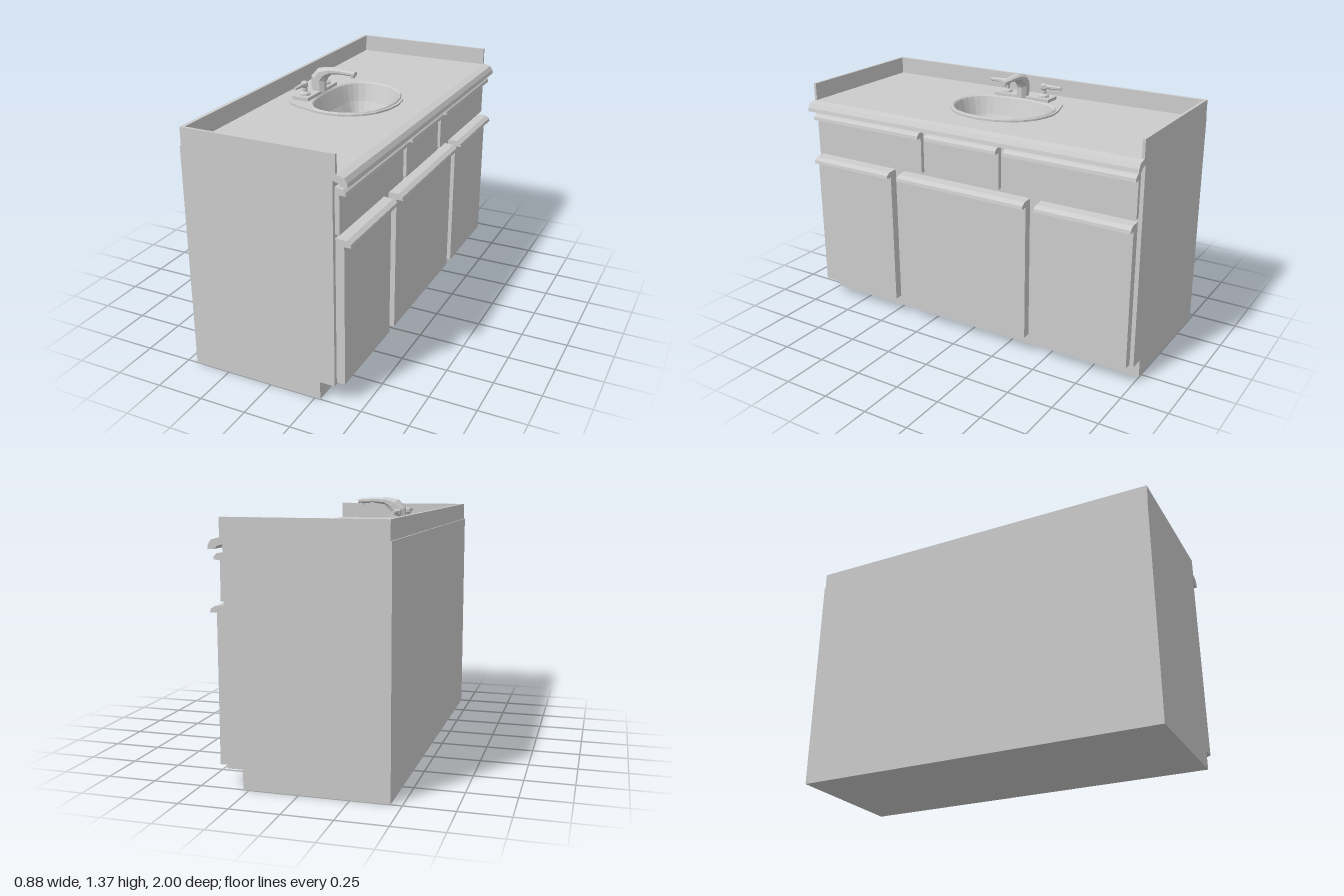
import * as THREE from 'three';

const mat = new THREE.MeshStandardMaterial({ color: 0xcccccc, flatShading: true, side: THREE.DoubleSide });

function add(parent, name, geo, x = 0, y = 0, z = 0) {
  const mesh = new THREE.Mesh(geo, mat);
  mesh.name = name;
  mesh.position.set(x, y, z);
  parent.add(mesh);
  return mesh;
}

// Side profile in x, y run along z from z0 to z1
function run(profile, z0, z1) {
  const shape = new THREE.Shape(profile.map(([x, y]) => new THREE.Vector2(x, y)));
  return new THREE.ExtrudeGeometry(shape, { depth: z1 - z0, bevelEnabled: false }).translate(0, 0, z0);
}

// Skin over a list of closed rings holding equal numbers of points
function loft(rings) {
  const n = rings[0].length, idx = [];
  for (let i = 0; i < rings.length - 1; i++) {
    for (let j = 0; j < n; j++) {
      const a = i * n + j, b = i * n + (j + 1) % n;
      idx.push(a, b, a + n, b, b + n, a + n);
    }
  }
  const geo = new THREE.BufferGeometry().setFromPoints(rings.flat());
  geo.setIndex(idx);
  const flat = geo.toNonIndexed();
  flat.computeVertexNormals();
  return flat;
}

// Smooth closed outline in x, z from one half, mirrored in z
function outline(half, count = 28) {
  const other = half.slice(1, -1).reverse().map(([x, z]) => [x, -z]);
  const pts = half.concat(other).map(([x, z]) => new THREE.Vector3(x, 0, z));
  return new THREE.CatmullRomCurve3(pts, true).getPoints(count).slice(0, count);
}

const rimOutline = outline([[-0.35, 0], [-0.34, 0.13], [-0.29, 0.225], [-0.17, 0.275],
  [-0.04, 0.303], [0.09, 0.27], [0.19, 0.175], [0.237, 0]]);
const bowlOutline = outline([[-0.2, 0], [-0.19, 0.12], [-0.165, 0.2], [-0.12, 0.255],
  [-0.04, 0.28], [0.08, 0.25], [0.175, 0.16], [0.213, 0]]);
const floorOutline = outline([[-0.12, 0], [-0.12, 0.1], [-0.115, 0.17], [-0.09, 0.195],
  [-0.03, 0.2], [0.06, 0.175], [0.12, 0.11], [0.14, 0]]);

// Ring at height y, grown about the bowl centre by factor s
const level = (ring, y, s = 1) => ring.map(p => new THREE.Vector3(0.01 + (p.x - 0.01) * s, y, p.z * s));

function buildCabinet() {
  const g = new THREE.Group();
  g.name = 'cabinet';
  add(g, 'carcass', run([[-0.445, 0], [0.28, 0], [0.28, 0.1], [0.36, 0.1], [0.36, 0.95], [-0.445, 0.95]], -1, 1));

  // Upper body and counter with an opening for the bowl
  const top = new THREE.Shape([[-0.445, -1], [0.36, -1], [0.36, 1], [-0.445, 1]].map(p => new THREE.Vector2(...p)));
  top.holes.push(new THREE.Path(level(bowlOutline, 0, 1.04).map(p => new THREE.Vector2(p.x, p.z))));
  const topGeo = new THREE.ExtrudeGeometry(top, { depth: 0.255, bevelEnabled: false }).rotateX(-Math.PI / 2);
  add(g, 'counter', topGeo, 0, 0.95, 0);

  add(g, 'counterEdge', run([[0.36, 1.175], [0.39, 1.165], [0.4, 1.152], [0.436, 1.152], [0.432, 1.172],
    [0.418, 1.195], [0.38, 1.205], [0.36, 1.205]], -1, 1));

  // Splash boards
  add(g, 'backSplash', new THREE.BoxGeometry(0.02, 0.095, 2), -0.428, 1.2525, 0);
  for (const s of [1, -1]) {
    add(g, 'sideSplash', new THREE.BoxGeometry(0.813, 0.095, 0.015), -0.0315, 1.2525, s * 0.9925);
  }

  // Drawer and door fronts with overhanging finger pulls
  const drawer = [[0.36, 0.905], [0.383, 0.905], [0.383, 1.1], [0.416, 1.1], [0.413, 1.117], [0.4, 1.13], [0.36, 1.137]];
  const door = [[0.36, 0.11], [0.405, 0.11], [0.405, 0.85], [0.44, 0.85], [0.437, 0.867], [0.415, 0.882], [0.36, 0.886]];
  for (const [a, b] of [[-0.98, -0.262], [-0.22, 0.22], [0.262, 0.98]]) add(g, 'drawerFront', run(drawer, a, b));
  for (const [a, b] of [[-0.978, -0.457], [-0.393, 0.393], [0.457, 0.978]]) add(g, 'doorFront', run(door, a, b));
  return g;
}

function buildSink() {
  const g = new THREE.Group();
  g.name = 'sink';
  const middle = floorOutline.map(p => p.clone().lerp(bowlOutline[floorOutline.indexOf(p)], 0.55));
  const centre = floorOutline.map(() => new THREE.Vector3(0.01, 1.03, 0));
  add(g, 'basin', loft([
    level(rimOutline, 1.204), level(rimOutline, 1.215), level(bowlOutline, 1.215, 1.05),
    level(bowlOutline, 1.222, 1.03), level(bowlOutline, 1.215), level(middle, 1.12),
    level(floorOutline, 1.045), centre,
  ]));
  return g;
}

function buildFaucet() {
  const g = new THREE.Group();
  g.name = 'faucet';
  add(g, 'basePlate', new THREE.BoxGeometry(0.095, 0.018, 0.345), -0.262, 1.224, 0);

  // Spout sections: x, y, heading in degrees, half width, half height
  const sections = [[-0.237, 1.225, 90, 0.03, 0.04], [-0.237, 1.298, 72, 0.03, 0.042],
    [-0.212, 1.329, 45, 0.03, 0.036], [-0.165, 1.348, 14, 0.027, 0.019],
    [-0.1, 1.351, 0, 0.024, 0.014], [-0.015, 1.346, -3, 0.02, 0.013]];
  const rings = sections.map(([x, y, deg, w, h]) => {
    const a = THREE.MathUtils.degToRad(deg);
    return Array.from({ length: 8 }, (_, i) => {
      const t = (i + 0.5) / 8 * Math.PI * 2;
      const c = Math.cos(t) * w * 1.08, s = -Math.sin(t) * h * 1.08;
      return new THREE.Vector3(x - Math.sin(a) * s, y + Math.cos(a) * s, c);
    });
  });
  rings.push(rings[0].map(() => new THREE.Vector3(-0.015, 1.346, 0)));
  add(g, 'spout', loft(rings));
  add(g, 'outlet', new THREE.CylinderGeometry(0.014, 0.014, 0.02, 8), -0.032, 1.335, 0);

  // Turned posts with levers pointing outward
  const post = [[0.032, 0], [0.03, 0.012], [0.015, 0.02], [0.014, 0.04], [0.02, 0.05], [0.02, 0.068], [0.012, 0.075], [0, 0.075]];
  for (const s of [1, -1]) {
    const handle = new THREE.Group();
    handle.name = 'handle';
    handle.position.set(-0.262, 1.233, s * 0.118);
    add(handle, 'post', new THREE.LatheGeometry(post.map(p => new THREE.Vector2(...p)), 8));
    const lever = add(handle, 'lever', new THREE.CylinderGeometry(0.014, 0.009, 0.105, 6), 0, 0.06, s * 0.055);
    lever.rotation.x = -s * Math.PI / 2;
    g.add(handle);
  }
  return g;
}

export function createModel() {
  const model = new THREE.Group();
  model.name = 'sinkCabinet';
  model.add(buildCabinet(), buildSink(), buildFaucet());
  return model;
}
